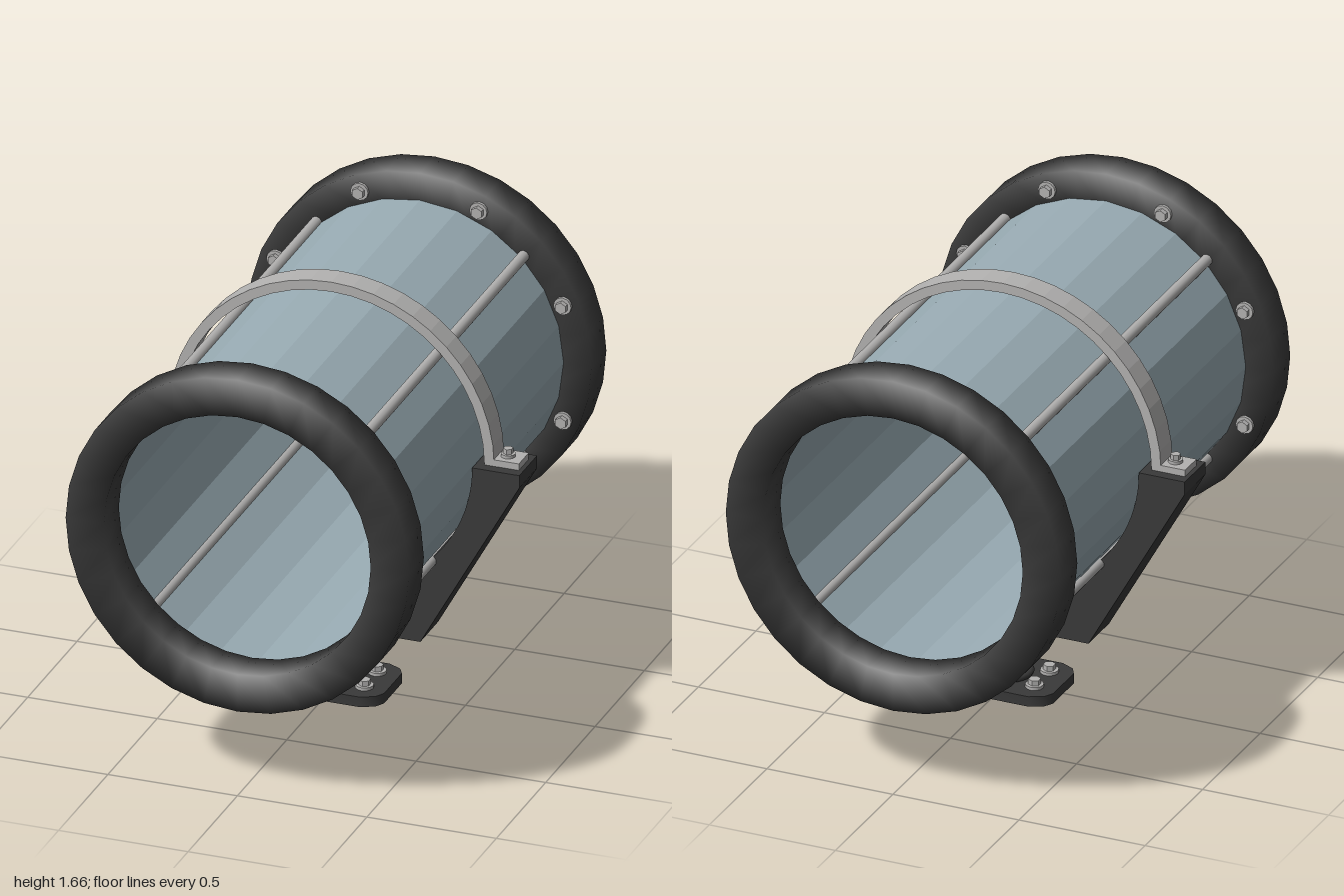
import * as THREE from 'three';
import { mergeVertices, toCreasedNormals } from 'three/addons/utils/BufferGeometryUtils.js';

const CY = 1; // height of the barrel axis

export function createModel() {
  const model = new THREE.Group();
  const material = (name, color, extra = {}) => {
    const m = new THREE.MeshStandardMaterial({ color, ...extra });
    m.name = name;
    return m;
  };
  const black = material('black rubber', 0x3a3a3a);
  const glass = material('blue grey barrel', 0x9aadb5, { flatShading: true, side: THREE.DoubleSide });
  const steel = material('steel', 0xb3b2b1);

  const add = (name, geometry, mat, x = 0, y = 0, z = 0, parent = model) => {
    const mesh = new THREE.Mesh(geometry, mat);
    mesh.name = name;
    mesh.position.set(x, y, z);
    parent.add(mesh);
    return mesh;
  };
  // Extrusion centred on z = 0
  const slab = (shape, depth, curveSegments = 12) =>
    new THREE.ExtrudeGeometry(shape, { depth, bevelEnabled: false, curveSegments }).translate(0, 0, -depth / 2);

  // Hex bolt with a washer, standing along +y
  const bolt = (name, x, y, z, size = 1) => {
    const g = new THREE.Group();
    g.name = name;
    add('washer', new THREE.CylinderGeometry(0.034 * size, 0.034 * size, 0.012, 12), steel, 0, 0.006, 0, g);
    const head = new THREE.CylinderGeometry(0.023 * size, 0.023 * size, 0.022, 6).toNonIndexed();
    head.computeVertexNormals();
    add('head', head, steel, 0, 0.021, 0, g);
    g.position.set(x, y, z);
    model.add(g);
    return g;
  };

  // Open barrel
  add('barrel', new THREE.CylinderGeometry(0.555, 0.555, 1.72, 24, 1, true).rotateX(Math.PI / 2), glass, 0, CY, 0);

  // End rings: square section with softened shading
  const section = [[0.515, -0.075], [0.663, -0.075], [0.663, 0.075], [0.515, 0.075], [0.515, -0.075]];
  let ring = new THREE.LatheGeometry(section.map(([r, h]) => new THREE.Vector2(r, h)), 32);
  ring.deleteAttribute('uv');
  ring.deleteAttribute('normal');
  ring = mergeVertices(ring, 1e-4);
  ring.computeVertexNormals();
  ring.rotateX(Math.PI / 2);

  for (const s of [1, -1]) {
    add(s > 0 ? 'frontRing' : 'backRing', ring, black, 0, CY, s * 0.925);
    // Bolts on the inward side of each ring
    for (let i = 0; i < 8; i++) {
      const a = (i + 0.5) * Math.PI / 4;
      bolt('ringBolt', 0.6 * Math.cos(a), CY + 0.6 * Math.sin(a), s * 0.85).rotation.x = -s * Math.PI / 2;
    }
  }

  // Four tie rods along the barrel
  for (const sx of [1, -1]) for (const sy of [1, -1]) {
    const rod = new THREE.CylinderGeometry(0.022, 0.022, 1.7, 10).rotateX(Math.PI / 2);
    add('tieRod', rod, steel, sx * 0.4, CY + sy * 0.4, 0);
  }

  // Strap over the top, with bolted end tabs
  const strap = new THREE.Shape();
  strap.absarc(0, 0, 0.63, 0, Math.PI, false);
  strap.absarc(0, 0, 0.592, Math.PI, 0, true);
  add('strap', slab(strap, 0.1, 12), steel, 0, CY, 0);
  for (const s of [1, -1]) {
    add('strapTab', new THREE.BoxGeometry(0.125, 0.026, 0.1), steel, s * 0.6625, CY + 0.013, 0);
    bolt('strapBolt', s * 0.665, CY + 0.026, 0, 0.8);
  }

  // Cradle with a half-round seat
  const cradle = new THREE.Shape();
  cradle.moveTo(-0.742, 0);
  cradle.lineTo(-0.742, -0.05);
  cradle.lineTo(-0.36, -0.73);
  cradle.lineTo(0.36, -0.73);
  cradle.lineTo(0.742, -0.05);
  cradle.lineTo(0.742, 0);
  cradle.lineTo(0.56, 0);
  cradle.absarc(0, 0, 0.56, 0, -Math.PI, true);
  add('cradle', toCreasedNormals(slab(cradle, 0.18, 24), 0.4), black, 0, CY, 0);

  // Post with a collar at each end
  add('post', new THREE.CylinderGeometry(0.076, 0.076, 0.24, 24), black, 0, 0.155, 0);
  for (const y of [0.053, 0.26]) {
    add('collar', new THREE.TorusGeometry(0.082, 0.014, 8, 24).rotateX(Math.PI / 2), black, 0, y, 0);
  }

  // Foot plate with cut corners and four bolts
  const foot = new THREE.Shape([
    [0.22, -0.09], [0.22, 0.09], [0.2, 0.125], [0.15, 0.15], [-0.15, 0.15], [-0.2, 0.125],
    [-0.22, 0.09], [-0.22, -0.09], [-0.2, -0.125], [-0.15, -0.15], [0.15, -0.15], [0.2, -0.125],
  ].map(([x, z]) => new THREE.Vector2(x, z)));
  add('footPlate', toCreasedNormals(slab(foot, 0.04), 0.7).rotateX(-Math.PI / 2), black, 0, 0.02, 0);
  for (const sx of [1, -1]) for (const sz of [1, -1]) bolt('footBolt', sx * 0.135, 0.04, sz * 0.065);

  return model;
}
